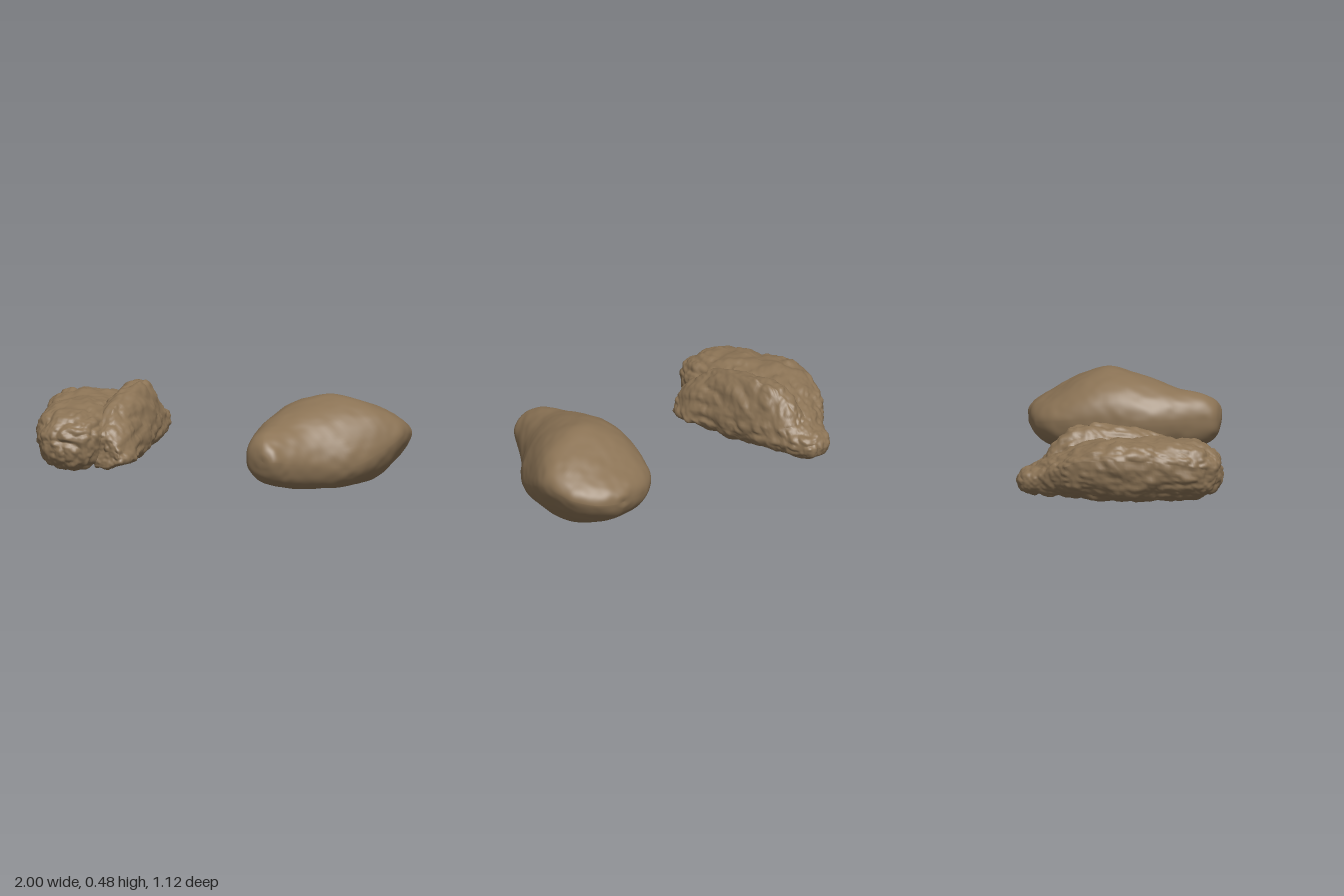
import * as THREE from 'three';

// Seedless lattice hash and smooth value noise in the range -1..1
function hash(x, y, z) {
  let h = Math.imul(x, 374761393) ^ Math.imul(y, 668265263) ^ Math.imul(z, 1274126177);
  h = Math.imul(h ^ (h >>> 13), 1274126177);
  return ((h ^ (h >>> 16)) >>> 0) / 2147483648 - 1;
}
function noise(x, y, z) {
  const ix = Math.floor(x), iy = Math.floor(y), iz = Math.floor(z);
  const s = (t) => t * t * (3 - 2 * t);
  const u = s(x - ix), v = s(y - iy), w = s(z - iz);
  const mix = THREE.MathUtils.lerp;
  const row = (b, c) => mix(hash(ix, iy + b, iz + c), hash(ix + 1, iy + b, iz + c), u);
  return mix(mix(row(0, 0), row(1, 0), v), mix(row(0, 1), row(1, 1), v), w);
}

// Weathered surface: soft lumps, and rounded blisters split by sharp cracks
const smoothRelief = (p) =>
  0.005 * noise(p.x * 8, p.y * 8, p.z * 8) + 0.0025 * noise(p.x * 22, p.y * 22, p.z * 22);

const roughRelief = (p) => {
  const crack = Math.abs(noise(p.x * 11, p.y * 13, p.z * 8));
  const pits = Math.abs(noise(p.x * 27 + 5, p.y * 27, p.z * 22));
  return 0.012 * noise(p.x * 6, p.y * 7, p.z * 5) + 0.026 * (Math.min(crack, 0.45) - 0.3)
    + 0.012 * (pits - 0.35) + 0.003 * noise(p.x * 60, p.y * 60, p.z * 60);
};

// Lofts a boulder through stations along z.
// station: [z, left x, right x, bottom y, top y, top's x, bottom's x, left's y, right's y]
// front, back: roundness of the top right, top left, bottom left and bottom right quarters
function boulder(stations, front, back, relief, rings, sides) {
  const tip = (s) => {
    const x = (s[1] + s[2]) / 2, y = (s[3] + s[4]) / 2;
    return [s[0], x, x, y, y, x, x, y, y];
  };
  const rows = [tip(stations[0]), ...stations, tip(stations[stations.length - 1])];
  const last = rows.length - 1;
  const pick = (i, k) => rows[Math.min(last, Math.max(0, i))][k];
  const sample = (t) => {
    const i = Math.min(last - 1, Math.floor(t * last)), f = t * last - i;
    return rows[0].map((_, k) => {
      const a = pick(i - 1, k), b = pick(i, k), c = pick(i + 1, k), d = pick(i + 2, k);
      return b + 0.5 * f * (c - a + f * (2 * a - 5 * b + 4 * c - d + f * (3 * (b - c) + d - a)));
    });
  };

  const positions = [], index = [];
  for (let r = 1; r < rings; r++) {
    const [z, xl, xr, yb, yt, xt, xb, yl, yr] = sample(r / rings);
    for (let s = 0; s < sides; s++) {
      const a = (s / sides) * Math.PI * 2;
      const q = Math.min(3, Math.floor((s / sides) * 4));
      const power = THREE.MathUtils.lerp(front[q], back[q], r / rings);
      const c = Math.abs(Math.cos(a)) ** (2 / power);
      const n = Math.abs(Math.sin(a)) ** (2 / power);
      const right = q === 0 || q === 3, up = q < 2;
      const cx = up ? xt : xb, cy = right ? yr : yl;
      positions.push(cx + ((right ? xr : xl) - cx) * c, cy + ((up ? yt : yb) - cy) * n, z);
    }
  }
  const first = positions.length / 3, end = first + 1;
  for (const row of [rows[0], rows[last]]) positions.push(row[1], row[3], row[0]);

  // Stations run from front to back
  const lastRing = (rings - 2) * sides;
  for (let s = 0; s < sides; s++) {
    const n = (s + 1) % sides;
    index.push(first, s, n, end, lastRing + n, lastRing + s);
    for (let r = 0; r < rings - 2; r++) {
      const a = r * sides + s, b = r * sides + n;
      index.push(a, a + sides, b, b, a + sides, b + sides);
    }
  }

  const geometry = new THREE.BufferGeometry();
  geometry.setAttribute('position', new THREE.Float32BufferAttribute(positions, 3));
  geometry.setIndex(index);
  geometry.computeVertexNormals();
  const position = geometry.attributes.position, normal = geometry.attributes.normal;
  const p = new THREE.Vector3(), dir = new THREE.Vector3();
  for (let i = 0; i < position.count; i++) {
    p.fromBufferAttribute(position, i);
    dir.fromBufferAttribute(normal, i);
    p.addScaledVector(dir, relief(p));
    position.setXYZ(i, p.x, Math.max(0, p.y), p.z);
  }
  geometry.computeVertexNormals();
  return geometry;
}

export function createModel() {
  const model = new THREE.Group();
  model.name = 'rocks';
  const stone = new THREE.MeshStandardMaterial({ color: 0x8b7355 });
  stone.name = 'brown stone';
  const add = (name, parent, geometry) => {
    const mesh = new THREE.Mesh(geometry, stone);
    mesh.name = name;
    parent.add(mesh);
  };

  // Smooth water-worn boulder with a narrow front nose and an overhanging right flank
  add('smoothBoulder', model, boulder([
    [0.495, 0.50, 0.59, 0.18, 0.27, 0.54, 0.54, 0.22, 0.22],
    [0.47, 0.44, 0.62, 0.12, 0.32, 0.53, 0.54, 0.23, 0.22],
    [0.40, 0.40, 0.655, 0.075, 0.355, 0.51, 0.56, 0.24, 0.20],
    [0.25, 0.355, 0.755, 0.035, 0.39, 0.52, 0.62, 0.24, 0.17],
    [0.10, 0.32, 0.88, 0.015, 0.435, 0.56, 0.71, 0.24, 0.155],
    [-0.10, 0.325, 0.97, 0.005, 0.475, 0.63, 0.77, 0.24, 0.22],
    [-0.25, 0.35, 0.998, 0.003, 0.43, 0.66, 0.78, 0.24, 0.27],
    [-0.40, 0.40, 0.965, 0.04, 0.345, 0.69, 0.73, 0.22, 0.24],
    [-0.50, 0.50, 0.87, 0.10, 0.285, 0.69, 0.70, 0.20, 0.21],
    [-0.54, 0.64, 0.76, 0.16, 0.24, 0.70, 0.70, 0.20, 0.20],
  ], [1.5, 2.1, 2.4, 2.4], [2.3, 2, 2.5, 1.2], smoothRelief, 120, 120));

  // Rough split boulder: long main block and a ridged slab along its side
  const rough = new THREE.Group();
  rough.name = 'roughBoulder';
  model.add(rough);
  add('mainBlock', rough, boulder([
    [0.54, -0.79, -0.66, 0.11, 0.25, -0.73, -0.72, 0.18, 0.18],
    [0.49, -0.835, -0.55, 0.05, 0.295, -0.71, -0.70, 0.19, 0.18],
    [0.40, -0.89, -0.505, 0.025, 0.33, -0.73, -0.70, 0.22, 0.17],
    [0.20, -0.94, -0.52, 0.015, 0.35, -0.77, -0.72, 0.25, 0.17],
    [0.00, -0.985, -0.52, 0.015, 0.355, -0.81, -0.74, 0.27, 0.17],
    [-0.20, -0.935, -0.52, 0.02, 0.32, -0.74, -0.72, 0.25, 0.17],
    [-0.33, -0.86, -0.52, 0.03, 0.27, -0.68, -0.68, 0.19, 0.14],
    [-0.42, -0.785, -0.54, 0.035, 0.22, -0.66, -0.66, 0.14, 0.12],
    [-0.51, -0.75, -0.58, 0.045, 0.17, -0.66, -0.66, 0.11, 0.10],
    [-0.54, -0.71, -0.61, 0.07, 0.14, -0.66, -0.66, 0.10, 0.10],
  ], [2.8, 2.1, 2.3, 2.3], [2.6, 1.9, 2.6, 2.3], roughRelief, 150, 140));
  add('sideSlab', rough, boulder([
    [0.38, -0.55, -0.42, 0.06, 0.18, -0.49, -0.50, 0.12, 0.11],
    [0.355, -0.58, -0.385, 0.035, 0.24, -0.50, -0.54, 0.14, 0.10],
    [0.24, -0.64, -0.37, 0.025, 0.32, -0.52, -0.56, 0.20, 0.09],
    [0.10, -0.67, -0.41, 0.02, 0.37, -0.54, -0.58, 0.20, 0.10],
    [-0.10, -0.71, -0.45, 0.02, 0.395, -0.55, -0.60, 0.20, 0.12],
    [-0.25, -0.73, -0.485, 0.03, 0.385, -0.58, -0.60, 0.20, 0.13],
    [-0.36, -0.71, -0.52, 0.04, 0.30, -0.62, -0.62, 0.17, 0.13],
    [-0.42, -0.69, -0.55, 0.07, 0.22, -0.63, -0.62, 0.14, 0.13],
  ], [1.5, 2.4, 2, 2.2], [1.7, 2.1, 2, 2.2], roughRelief, 110, 100));

  return model;
}
